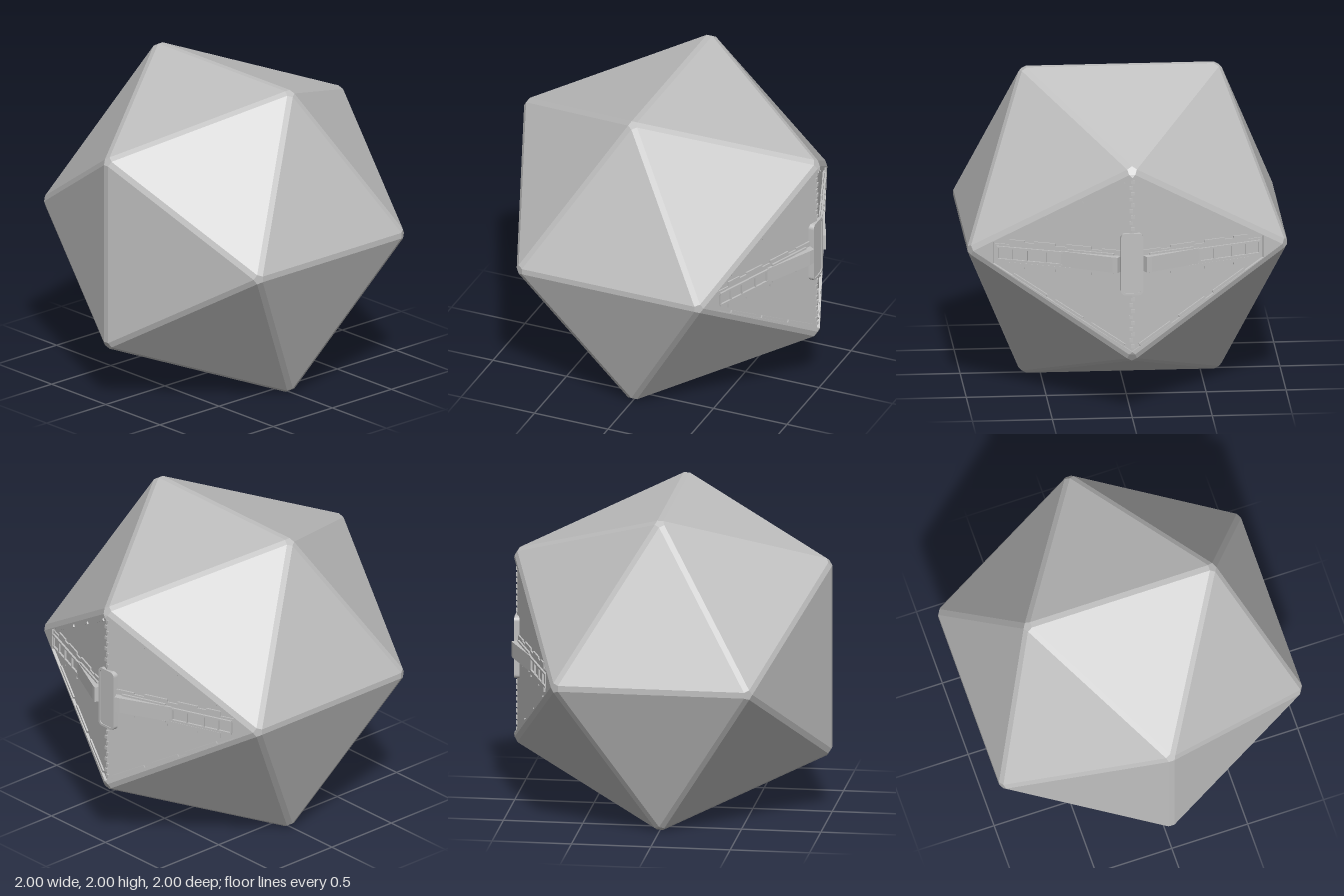
import * as THREE from 'three';

const S = 1.005, K = 0.618, DEPTH = 0.018, TILT = Math.atan(0.382);
const grey = new THREE.MeshStandardMaterial({ color: 0xc0c0c0, side: THREE.DoubleSide });
grey.name = 'plain grey';

const v3 = (x, y, z) => new THREE.Vector3(x, y, z);

// Collects flat convex polygons, wound to face away from the centre
function polygonBuilder() {
  const data = [];
  return {
    add(...p) {
      const n = p[1].clone().sub(p[0]).cross(p[2].clone().sub(p[0]));
      const pts = n.dot(p[0]) < 0 ? p.slice().reverse() : p;
      for (let i = 1; i < pts.length - 1; i++)
        for (const q of [pts[0], pts[i], pts[i + 1]]) data.push(q.x, q.y, q.z);
    },
    build() {
      const g = new THREE.BufferGeometry();
      g.setAttribute('position', new THREE.Float32BufferAttribute(data, 3));
      g.computeVertexNormals();
      return g;
    }
  };
}

// Icosahedron with chamfered edges and corners; two back faces hold a sunken bay
function bodyGeometry() {
  const out = polygonBuilder(), verts = [];
  for (const a of [-1, 1]) for (const b of [-1, 1])
    verts.push(v3(a * K, b, 0), v3(b, 0, a * K), v3(0, a * K, b));
  const near = (i, j) => verts[i].distanceTo(verts[j]) < 1.3;
  const faces = [];
  for (let i = 0; i < 12; i++) for (let j = i + 1; j < 12; j++) for (let k = j + 1; k < 12; k++)
    if (near(i, j) && near(j, k) && near(i, k)) {
      const c = verts[i].clone().add(verts[j]).add(verts[k]).divideScalar(3);
      const corner = {};
      for (const m of [i, j, k]) corner[m] = verts[m].clone().lerp(c, 0.04 / 0.714);
      const bay = c.z < -0.8 && Math.abs(c.y) < 0.01;
      faces.push({ ids: [i, j, k], corner, bay, c });
    }
  // flat faces
  for (const f of faces) if (!f.bay) out.add(...f.ids.map(m => f.corner[m]));
  // edge chamfers
  for (let i = 0; i < 12; i++) for (let j = i + 1; j < 12; j++) if (near(i, j)) {
    const [f, g] = faces.filter(t => t.ids.includes(i) && t.ids.includes(j));
    if (!(f.bay && g.bay)) out.add(f.corner[i], f.corner[j], g.corner[j], g.corner[i]);
  }
  // corner caps, sorted around each vertex
  verts.forEach((v, i) => {
    const ring = faces.filter(f => f.ids.includes(i)).map(f => f.corner[i]);
    const n = v.clone().normalize(), e = ring[0].clone().projectOnPlane(n).normalize();
    const h = n.clone().cross(e);
    ring.sort((a, b) => Math.atan2(a.dot(h), a.dot(e)) - Math.atan2(b.dot(h), b.dot(e)));
    out.add(...ring);
  });
  // sunken bay: rim, walls and floor on both sides of the back edge
  const c = Math.cos(TILT), s = Math.sin(TILT);
  for (const side of [-1, 1]) {
    const P = (u, y, w) => v3(side * (u * c + w * s), y, -1 + u * s - w * c);
    const f = faces.find(t => t.bay && t.c.x * side > 0);
    const tip = f.corner[f.ids.find(m => Math.abs(verts[m].x) > 0.9)];
    const lo = [], hi = [];
    for (const y of [1, -1]) {
      const top = f.corner[f.ids.find(m => verts[m].y * y > 0.5)];
      const a = P(0, 0.565 * y, 0), b = P(0.9, 0.07 * y, 0);
      const a2 = P(DEPTH * s / c, 0.565 * y, -DEPTH), b2 = P(0.9, 0.07 * y, -DEPTH);
      out.add(top, tip, b, a);
      out.add(top, a, v3(-top.x, top.y, top.z));
      out.add(a, b, b2, a2);
      hi.push(b);
      lo.push(a2, b2);
    }
    out.add(tip, hi[0], hi[1]);
    out.add(hi[0], hi[1], lo[3], lo[1]);
    out.add(lo[0], lo[1], lo[3], lo[2]);
  }
  return out.build();
}

function mesh(parent, name, geometry) {
  const m = new THREE.Mesh(geometry, grey);
  m.name = name;
  parent.add(m);
  return m;
}

// Box on a bay face: u along the arm, y up, w height above the face
function block(parent, name, u0, u1, y0, y1, w0, w1) {
  const m = mesh(parent, name, new THREE.BoxGeometry(u1 - u0, y1 - y0, w1 - w0));
  m.position.set((u0 + u1) / 2, (y0 + y1) / 2, -(w0 + w1) / 2);
  return m;
}

function roundedRect(Type, w, h, r) {
  const p = new Type();
  p.absarc(w - r, h - r, r, 0, Math.PI / 2);
  p.absarc(r - w, h - r, r, Math.PI / 2, Math.PI);
  p.absarc(r - w, r - h, r, Math.PI, Math.PI * 1.5);
  p.absarc(w - r, r - h, r, Math.PI * 1.5, Math.PI * 2);
  p.closePath();
  return p;
}

function buildArm() {
  const arm = new THREE.Group();
  arm.name = 'latchArm';
  arm.position.z = -1;
  arm.rotation.y = -TILT;
  block(arm, 'armBase', 0.06, 0.895, -0.06, 0.06, -0.02, -0.01);
  for (const s of [-1, 1]) {
    const strip = (name, u0, u1, a, b, w0, w1) =>
      block(arm, name, u0, u1, Math.min(s * a, s * b), Math.max(s * a, s * b), w0, w1);
    // notched side plates
    for (const [u0, u1, y] of [[0.06, 0.2, 0.085], [0.2, 0.27, 0.075], [0.27, 0.43, 0.092],
      [0.43, 0.5, 0.075], [0.5, 0.64, 0.092], [0.64, 0.7, 0.08], [0.7, 0.8, 0.092]])
      strip('sidePlate', u0, u1, 0.055, y, -0.02, -0.008);
    strip('rail', 0.44, 0.88, 0.034, 0.046, -0.02, 0.003);
    strip('flapRib', 0.12, 0.42, 0.052, 0.064, -0.02, 0.004);
    // broken lip along the sloping bay edge
    for (const [t0, t1] of [[0.06, 0.3], [0.36, 0.56], [0.62, 0.86]]) {
      const len = (t1 - t0) * 1.027, t = (t0 + t1) / 2;
      const lip = mesh(arm, 'bayLip', new THREE.BoxGeometry(len, 0.018, 0.01));
      lip.position.set(0.9 * t, s * (0.557 - 0.495 * t), 0.012);
      lip.rotation.z = -s * 0.503;
    }
  }
  for (const u of [0.46, 0.56, 0.68, 0.78, 0.87])
    block(arm, 'crossbar', u, u + 0.012, -0.036, 0.036, -0.02, 0.001);

  // wedge flap, rising toward the centre
  const wedge = new THREE.Shape([[0.075, -0.02], [0.46, -0.02], [0.46, 0.002], [0.12, 0.034], [0.085, 0.034]]
    .map(([u, w]) => new THREE.Vector2(u, w)));
  const flap = mesh(arm, 'wedgeFlap', new THREE.ExtrudeGeometry(wedge, { depth: 0.1, bevelEnabled: false }));
  flap.rotation.x = -Math.PI / 2;
  flap.position.y = -0.05;
  return arm;
}

function buildLatch() {
  const latch = new THREE.Group();
  latch.name = 'centreLatch';
  const frame = roundedRect(THREE.Shape, 0.07, 0.2, 0.03);
  frame.holes.push(roundedRect(THREE.Path, 0.056, 0.186, 0.02));
  mesh(latch, 'latchFrame', new THREE.ExtrudeGeometry(frame,
    { depth: 0.035, bevelEnabled: false, curveSegments: 5 })).position.z = -0.99;
  mesh(latch, 'latchPlate', new THREE.ExtrudeGeometry(roundedRect(THREE.Shape, 0.058, 0.188, 0.02),
    { depth: 0.03, bevelEnabled: false, curveSegments: 5 })).position.z = -0.984;
  return latch;
}

export function createModel() {
  const model = new THREE.Group();
  model.name = 'facetedPod';
  model.position.y = 1;
  mesh(model, 'facetedBody', bodyGeometry()).scale.setScalar(S);

  const details = new THREE.Group();
  details.name = 'backBayDetails';
  details.scale.setScalar(S);
  const right = new THREE.Group();
  right.name = 'mirroredArm';
  right.scale.x = -1;
  right.add(buildArm());
  details.add(buildArm(), right, buildLatch());

  // interlocking teeth down the back seam
  for (let i = 0; i < 9; i++) for (const s of [-1, 1]) {
    const tooth = mesh(details, 'seamTooth', new THREE.BoxGeometry(0.022, 0.022, 0.012));
    tooth.position.set((i % 2 ? 1 : -1) * 0.005, s * (0.23 + i * 0.038), -0.98);
  }
  model.add(details);

  const root = new THREE.Group();
  root.name = 'model';
  root.add(model);
  return root;
}
